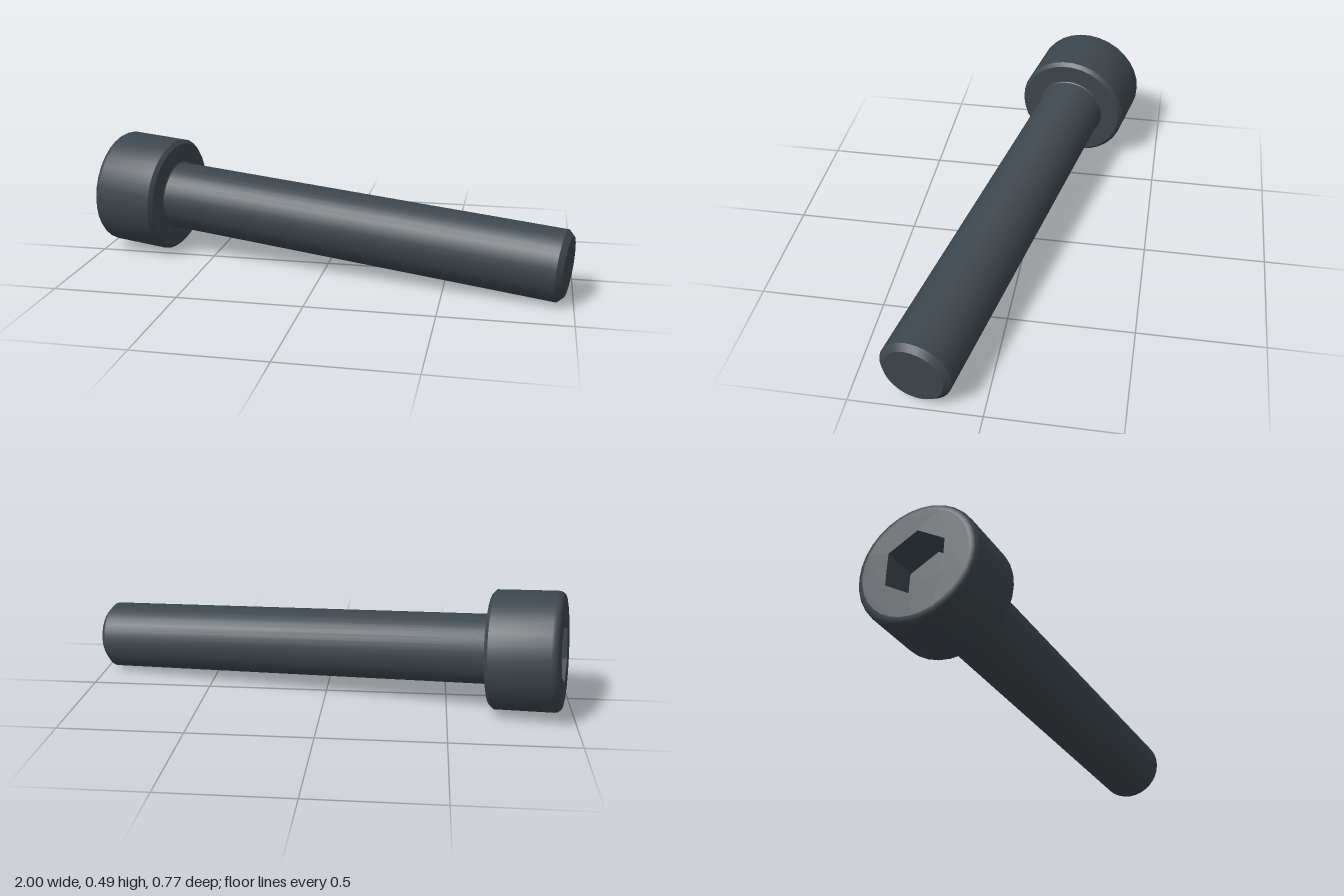
import * as THREE from 'three';
import { toCreasedNormals } from 'three/addons/utils/BufferGeometryUtils.js';

const SIDES = 32;
const SHANK_R = 0.141, SHANK_LEN = 1.692;
const HEAD_R = 0.24, TOP = 1.974;
const HEX_R = 0.13, HEX_DEPTH = 0.141;
const ROUND = 0.028;

// Surface of revolution around the screw axis, with sharp edges kept
function turned(profile, sides = SIDES, start = 0, crease = 0.5) {
  const points = profile.map(([r, y]) => new THREE.Vector2(r, y));
  return toCreasedNormals(new THREE.LatheGeometry(points, sides, start), crease);
}

// Quarter arc as profile points
function arc(cx, cy, r, from, to, steps = 4) {
  return Array.from({ length: steps + 1 }, (_, i) => {
    const a = from + (to - from) * i / steps;
    return [cx + r * Math.cos(a), cy + r * Math.sin(a)];
  });
}

function ring(r, sides) {
  return Array.from({ length: sides }, (_, i) => {
    const a = i / sides * Math.PI * 2;
    return new THREE.Vector2(r * Math.cos(a), r * Math.sin(a));
  });
}

export function createModel() {
  const model = new THREE.Group();
  const steel = new THREE.MeshStandardMaterial({ color: 0x3d464d });
  steel.name = 'dark steel';

  const screw = new THREE.Group();
  screw.name = 'capScrew';
  const add = (name, geometry) => {
    const mesh = new THREE.Mesh(geometry, steel);
    mesh.name = name;
    screw.add(mesh);
    return mesh;
  };

  // Shank: chamfered tip at y = 0, small fillet under the head
  const f = 0.01;
  add('shank', turned([
    [0, 0], [SHANK_R - 0.022, 0], [SHANK_R, 0.022],
    ...arc(SHANK_R + f, SHANK_LEN - f, f, Math.PI, Math.PI / 2, 3),
  ]));

  // Head: chamfered underside, rounded outer edge
  add('head', turned([
    [SHANK_R + f, SHANK_LEN], [HEAD_R - 0.015, SHANK_LEN], [HEAD_R, SHANK_LEN + 0.015],
    ...arc(HEAD_R - ROUND, TOP - ROUND, ROUND, 0, Math.PI / 2),
  ]));

  // Flat end face with the hexagonal opening
  const face = new THREE.Shape(ring(HEAD_R - ROUND, SIDES));
  face.holes.push(new THREE.Path(ring(HEX_R, 6)));
  add('headFace', new THREE.ShapeGeometry(face).rotateX(-Math.PI / 2).translate(0, TOP, 0));

  // Hex socket: inward walls and floor
  add('hexSocket', turned([
    [HEX_R, TOP], [HEX_R, TOP - HEX_DEPTH], [0, TOP - HEX_DEPTH],
  ], 6, Math.PI / 2, 0.3));

  // Lay the screw down, tip toward +x and slightly forward
  screw.rotation.set(0, -0.21, 1.512);
  screw.position.set(0.9746, 0.14, 0.254);
  model.add(screw);
  return model;
}
